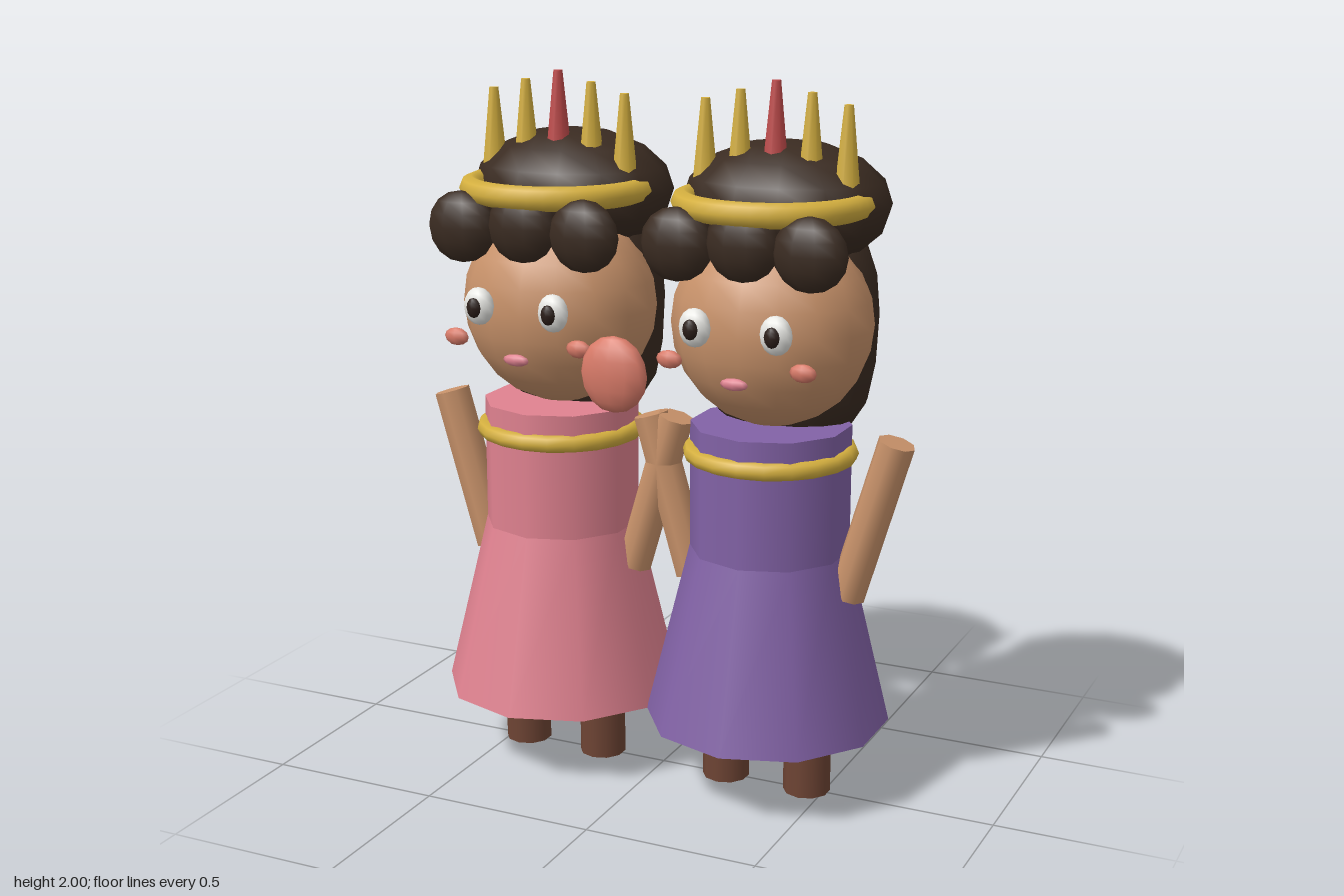
import * as THREE from 'three';

const mat = (name, color) => {
  const m = new THREE.MeshStandardMaterial({ color });
  m.name = name;
  return m;
};

export function createModel() {
  const skin = mat('skin', 0xc8926a);
  const hair = mat('hair', 0x3a2b21);
  const gold = mat('gold', 0xd4af3f);
  const red = mat('red', 0xbf4a4a);
  const pink = mat('pink', 0xe08290);
  const purple = mat('purple', 0x8262a6);
  const brown = mat('brown', 0x6e4434);
  const blush = mat('blush', 0xd87a68);
  const white = mat('white', 0xe8e8e4);
  const pupilDark = mat('pupilDark', 0x2a1d18);

  const add = (parent, name, geo, material, x, y, z) => {
    const mesh = new THREE.Mesh(geo, material);
    mesh.name = name;
    mesh.position.set(x, y, z);
    parent.add(mesh);
    return mesh;
  };
  // Ellipsoid from a unit sphere
  const blob = (parent, name, material, pos, radii, w = 12, h = 8) => {
    const geo = new THREE.SphereGeometry(1, w, h).scale(...radii);
    return add(parent, name, geo, material, ...pos);
  };

  function princess(dressMaterial) {
    const g = new THREE.Group();

    // Dress and necklace
    add(g, 'skirt', new THREE.CylinderGeometry(0.223, 0.345, 0.5, 10), dressMaterial, 0, 0.46, 0);
    add(g, 'bodice', new THREE.CylinderGeometry(0.223, 0.223, 0.36, 10), dressMaterial, 0, 0.89, 0);
    add(g, 'necklace', new THREE.TorusGeometry(0.218, 0.025, 8, 20).rotateX(Math.PI / 2), gold, 0, 0.99, 0);

    // Head
    blob(g, 'head', skin, [0, 1.35, 0], [0.282, 0.283, 0.242], 16, 12);
    blob(g, 'mouth', pink, [0, 1.235, 0.262], [0.04, 0.017, 0.013], 8, 6);

    // Paired parts
    for (const s of [-1, 1]) {
      add(g, 'leg', new THREE.CylinderGeometry(0.067, 0.067, 0.24, 10), brown, s * 0.125, 0.12, 0);
      const arm = add(g, 'arm', new THREE.CylinderGeometry(0.052, 0.052, 0.47, 8), skin, s * 0.298, 0.828, 0);
      arm.rotation.z = -s * 0.285;
      blob(g, 'eye', white, [s * 0.115, 1.376, 0.258], [0.046, 0.053, 0.03], 10, 8);
      blob(g, 'pupil', pupilDark, [s * 0.115, 1.376, 0.288], [0.022, 0.028, 0.014], 8, 6);
      blob(g, 'cheek', blush, [s * 0.19, 1.283, 0.255], [0.038, 0.025, 0.017], 8, 6);
    }

    // Hair: cap, long back and fringe curls
    blob(g, 'hairCap', hair, [0, 1.665, -0.09], [0.297, 0.172, 0.233], 14, 8);
    const profile = [[0, 1.0], [0.12, 1.015], [0.185, 1.05], [0.23, 1.12], [0.25, 1.22], [0.257, 1.36],
      [0.247, 1.47], [0.215, 1.56], [0.14, 1.64], [0, 1.68]].map(([r, y]) => new THREE.Vector2(r, y));
    add(g, 'backHair', new THREE.LatheGeometry(profile, 16).scale(1, 1, 0.76), hair, 0, 0, -0.12);
    for (const i of [-1, 0, 1]) {
      blob(g, 'curl', hair, [i * 0.188, i ? 1.585 : 1.597, 0.215], [0.105, 0.1, 0.054], 10, 8);
    }

    // Crown: front half band with five points
    const arc = Math.PI * 1.06;
    const band = new THREE.TorusGeometry(0.243, 0.034, 8, 20, arc)
      .rotateZ((Math.PI - arc) / 2)
      .rotateX(Math.PI / 2);
    add(g, 'crownBand', band, gold, 0, 1.68, 0);
    for (let i = -2; i <= 2; i++) {
      const top = 2 - 0.0275 * Math.abs(i);
      const geo = new THREE.CylinderGeometry(0.013, 0.038, 0.24, 8);
      add(g, 'crownPoint', geo, i ? gold : red, i * 0.102, top - 0.12, -0.005);
    }
    return g;
  }

  const model = new THREE.Group();
  model.name = 'twinPrincesses';
  [['pinkPrincess', pink, -0.325], ['purplePrincess', purple, 0.325]].forEach(([name, material, x]) => {
    const figure = princess(material);
    figure.name = name;
    figure.position.x = x;
    model.add(figure);
  });

  // Rosy disc between the two heads
  blob(model, 'centreBall', blush, [0, 1.24, 0.312], [0.098, 0.105, 0.042], 12, 8);
  return model;
}
